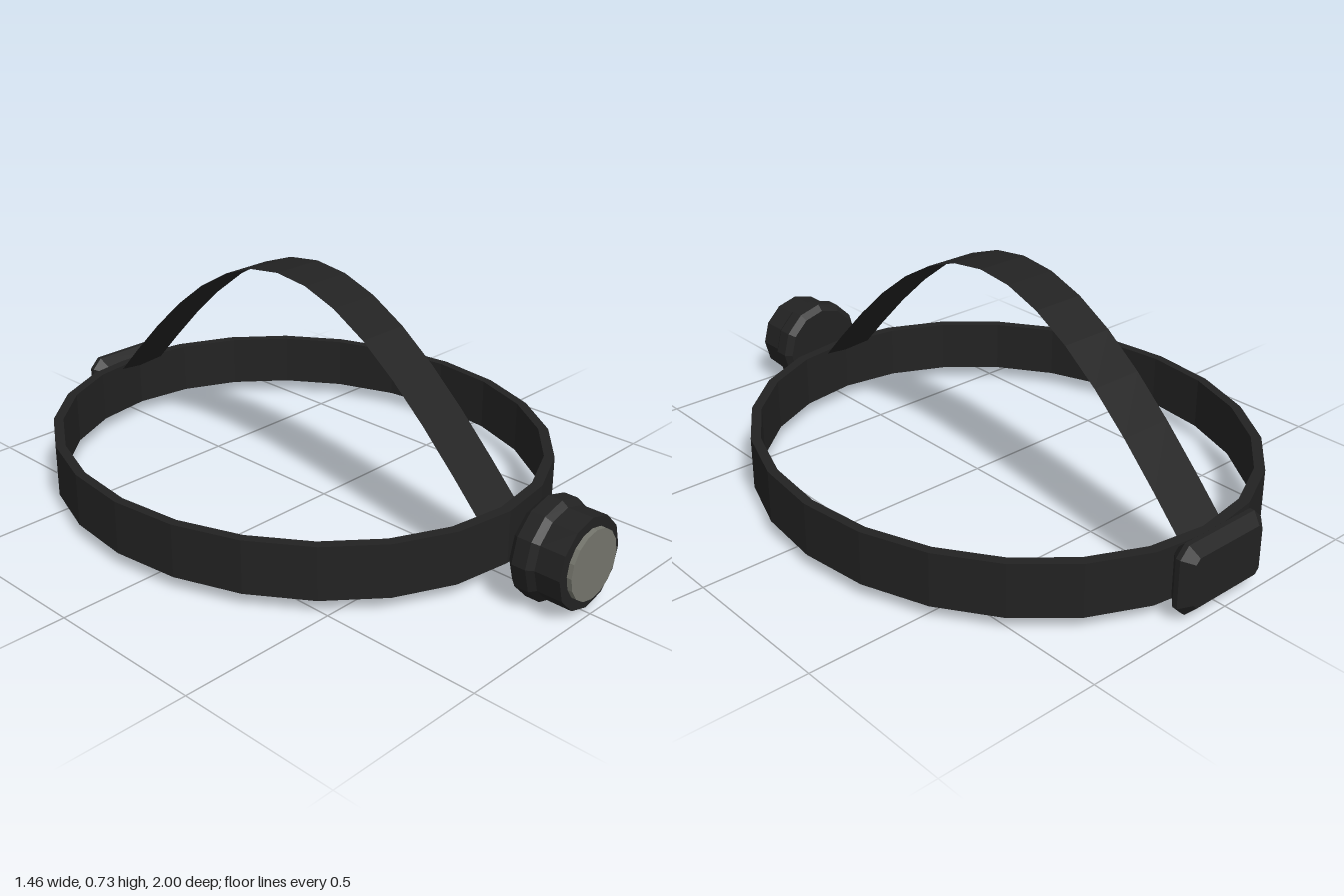
import * as THREE from 'three';

const dark = new THREE.MeshStandardMaterial({ color: 0x222222, side: THREE.DoubleSide });
dark.name = 'black fabric and plastic';
const glass = new THREE.MeshStandardMaterial({ color: 0x74756c });
glass.name = 'grey lens';

// Facet a geometry and wrap it in a named mesh
function part(name, geometry, material) {
  const g = geometry.index ? geometry.toNonIndexed() : geometry;
  g.computeVertexNormals();
  const mesh = new THREE.Mesh(g, material);
  mesh.name = name;
  return mesh;
}

// Turned part along z, from [radius, z] pairs ordered back to front
function turned(name, profile, sides, material) {
  const pts = profile.map(([r, z]) => new THREE.Vector2(r, z));
  return part(name, new THREE.LatheGeometry(pts, sides).rotateX(Math.PI / 2), material);
}

export function createModel() {
  const model = new THREE.Group();
  model.name = 'headlamp';
  const midZ = -0.11;

  // Oval headband with a rectangular section
  const section = [[1, 0.045], [1, 0.21], [0.96, 0.21], [0.96, 0.045], [1, 0.045]]
    .map(([r, y]) => new THREE.Vector2(r, y));
  const band = new THREE.LatheGeometry(section, 24).scale(0.73, 1, 0.83).translate(0, 0, midZ);
  model.add(part('headband', band, dark));

  // Thin strap arching over the head from front to back
  const strap = new THREE.PlaneGeometry(0.17, 2, 1, 14);
  const p = strap.attributes.position;
  for (let i = 0; i < p.count; i++) {
    const t = p.getY(i);
    p.setXYZ(i, p.getX(i), 0.17 + 0.56 * Math.cos(t * Math.PI / 2), midZ - 0.81 * t);
  }
  model.add(part('topStrap', strap, dark));

  // Lamp in front: wide bevelled collar, body and lens
  const lamp = new THREE.Group();
  lamp.name = 'lamp';
  lamp.position.y = 0.153;
  lamp.add(turned('lampCollar', [
    [0, 0.82], [0.133, 0.82], [0.151, 0.84], [0.151, 0.885], [0.137, 0.905], [0, 0.905],
  ], 12, dark));
  lamp.add(turned('lampBody', [[0.137, 0.905], [0.137, 0.985], [0, 0.985]], 12, dark));
  lamp.add(turned('lens', [[0.105, 0.985], [0.105, 1], [0, 1]], 16, glass));
  model.add(lamp);

  // Bevelled buckle at the back
  const w = 0.135, h = 0.077, c = 0.015;
  const outline = new THREE.Shape([
    [w, -h + c], [w, h - c], [w - c, h], [-w + c, h],
    [-w, h - c], [-w, -h + c], [-w + c, -h], [w - c, -h],
  ].map(([x, y]) => new THREE.Vector2(x, y)));
  const buckle = new THREE.ExtrudeGeometry(outline, {
    depth: 0.015, bevelEnabled: true, bevelSegments: 1, bevelSize: 0.03, bevelThickness: 0.03,
  }).translate(0, 0.127, -0.97);
  model.add(part('rearBuckle', buckle, dark));

  return model;
}
